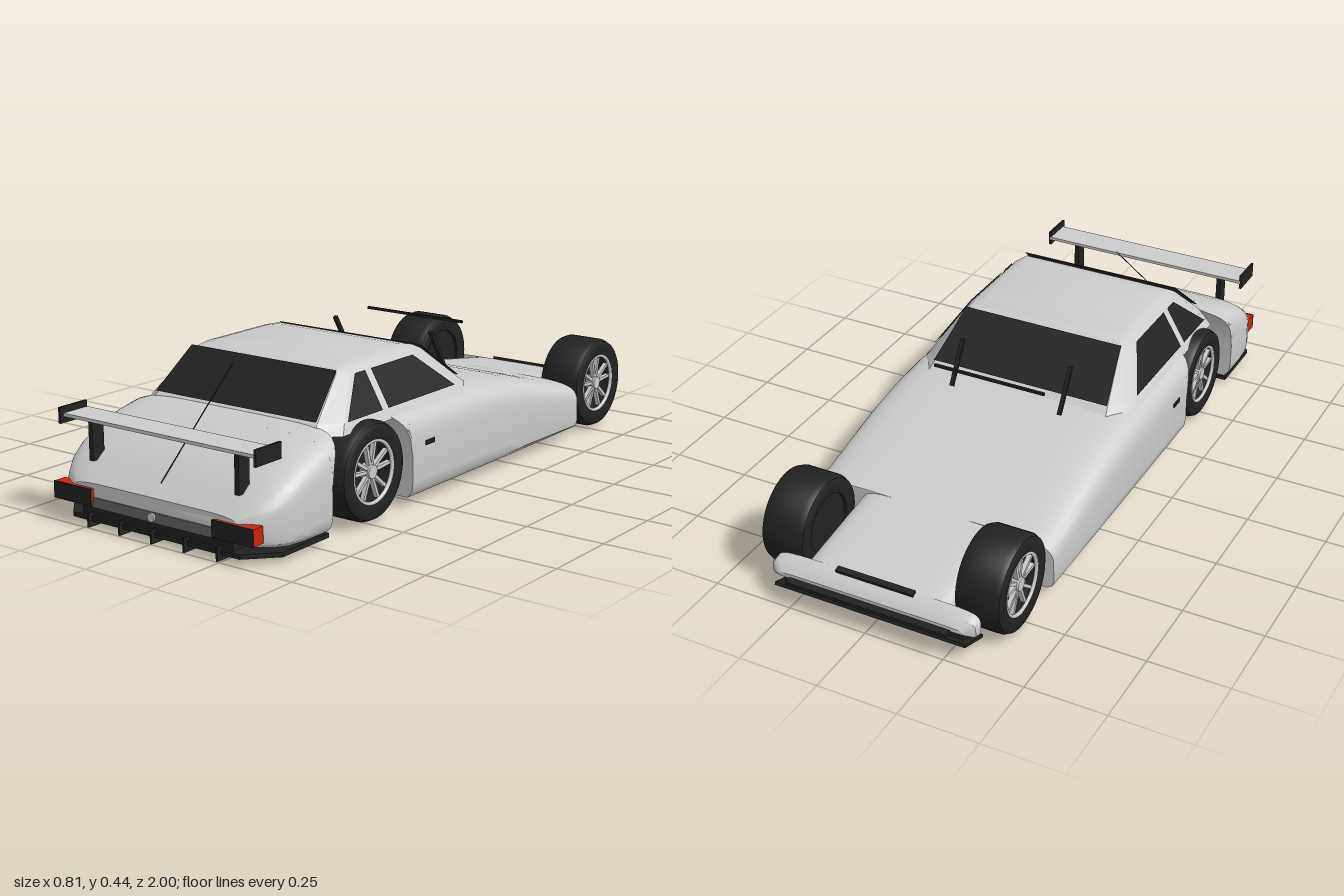
import * as THREE from 'three';
import { toCreasedNormals } from 'three/addons/utils/BufferGeometryUtils.js';

const mat = (color, side = THREE.FrontSide) => new THREE.MeshStandardMaterial({ color, side });
const GREY = mat(0xcccccc), DARK = mat(0x222222), RED = mat(0xcc2211), MID = mat(0x666666);
const GLASS = mat(0x222222, THREE.DoubleSide);

// Skins a list of closed rings ([x, y, z] points) and caps both ends
function loft(rings, crease = 0.6) {
  const n = rings[0].length, pos = rings.flat(2), idx = [];
  for (let i = 0; i < rings.length - 1; i++) {
    for (let j = 0; j < n; j++) {
      const a = i * n + j, b = i * n + (j + 1) % n;
      idx.push(a, b, b + n, a, b + n, a + n);
    }
  }
  [0, rings.length - 1].forEach((r, end) => {
    const c = pos.length / 3;
    for (let k = 0; k < 3; k++) pos.push(rings[r].reduce((s, p) => s + p[k], 0) / n);
    for (let j = 0; j < n; j++) {
      const a = r * n + j, b = r * n + (j + 1) % n;
      if (end) idx.push(c, a, b); else idx.push(c, b, a);
    }
  });
  const g = new THREE.BufferGeometry();
  g.setAttribute('position', new THREE.Float32BufferAttribute(pos, 3));
  g.setIndex(idx);
  return toCreasedNormals(g, crease);
}

// Flat convex panel from its corner points
function panel(points) {
  const g = new THREE.BufferGeometry(), idx = [];
  g.setAttribute('position', new THREE.Float32BufferAttribute(points.flat(), 3));
  for (let i = 1; i < points.length - 1; i++) idx.push(0, i, i + 1);
  g.setIndex(idx);
  g.computeVertexNormals();
  return g;
}

// Body keys: z, half width, top height, bottom height
const KEYS = [
  [-0.975, 0.30, 0.10, 0.085], [-0.955, 0.33, 0.125, 0.07], [-0.925, 0.33, 0.137, 0.06],
  [-0.924, 0.235, 0.137, 0.035], [-0.8, 0.235, 0.158, 0.035], [-0.621, 0.235, 0.187, 0.035],
  [-0.62, 0.4, 0.187, 0.035], [-0.5, 0.402, 0.215, 0.035], [-0.4, 0.403, 0.242, 0.035],
  [-0.3, 0.404, 0.266, 0.035], [-0.2, 0.405, 0.284, 0.035], [-0.1, 0.405, 0.295, 0.035],
  [0, 0.405, 0.3, 0.035], [0.3, 0.405, 0.306, 0.035], [0.6, 0.405, 0.311, 0.035],
  [0.66, 0.405, 0.306, 0.035], [0.73, 0.405, 0.29, 0.035], [0.8, 0.404, 0.262, 0.035],
  [0.86, 0.4, 0.232, 0.037], [0.91, 0.385, 0.198, 0.043], [0.95, 0.36, 0.165, 0.05],
  [0.985, 0.31, 0.132, 0.06]];
const ARCH = { z: 0.51, y: 0.155, r: 0.19, inner: 0.25 };

function bodyAt(z) {
  let i = 0;
  while (i < KEYS.length - 2 && z > KEYS[i + 1][0]) i++;
  const [a, b] = [KEYS[i], KEYS[i + 1]], t = (z - a[0]) / (b[0] - a[0]);
  return a.map((v, k) => v + (b[k] - v) * t);
}

// Cross-section: floor, wheel well wall, then a rounded shoulder up to the deck
function bodyRing(z, arched) {
  const [, w, top, bot] = bodyAt(z), N = 14, E = 0.3;
  const mid = bot + (top - bot) * 0.18;
  const half = [[0, bot]];
  let t0 = 0;
  if (arched) {
    const lip = ARCH.y + Math.sqrt(Math.max(0, ARCH.r ** 2 - (z - ARCH.z) ** 2));
    const open = lip > top - 0.008;
    t0 = open ? Math.PI / 2 : Math.asin(((lip - mid) / (top - mid)) ** (1 / E));
    half.push([ARCH.inner, bot], [ARCH.inner, open ? top : lip]);
  } else half.push([w * 0.95, bot], [w * 0.99, bot + (mid - bot) * 0.4]);
  for (let k = 0; k <= N; k++) {
    const t = t0 + (Math.PI / 2 - t0) * k / N;
    const x = w * Math.max(0, Math.cos(t)) ** E, y = mid + (top - mid) * Math.sin(t) ** E;
    half.push(k === N ? [0, top] : t0 > 1.57 ? [ARCH.inner * (1 - k / N), top] : [x, y]);
  }
  const mirror = half.slice(1, -1).reverse().map(([x, y]) => [-x, y]);
  return [...half, ...mirror].map(([x, y]) => [x, y, z]);
}

function bodyGeometry() {
  const z0 = ARCH.z - ARCH.r, z1 = ARCH.z + ARCH.r, rings = [];
  KEYS.filter(k => k[0] < z0).forEach(k => rings.push(bodyRing(k[0])));
  rings.push(bodyRing(z0));
  for (let i = 0; i <= 36; i++) rings.push(bodyRing(z0 + (z1 - z0) * i / 36, true));
  rings.push(bodyRing(z1));
  KEYS.filter(k => k[0] > z1).forEach(k => rings.push(bodyRing(k[0])));
  return loft(rings);
}

// Wheel with its outer face toward +x
function makeWheel() {
  const wheel = new THREE.Group();
  const add = (name, geo, m, x = 0) => {
    const mesh = new THREE.Mesh(geo, m);
    mesh.name = name;
    mesh.position.x = x;
    wheel.add(mesh);
    return mesh;
  };
  const profile = [[0.094, -0.068], [0.125, -0.075], [0.14, -0.068], [0.147, -0.052], [0.147, 0.052],
    [0.14, 0.068], [0.125, 0.075], [0.094, 0.068], [0.094, -0.068]].map(p => new THREE.Vector2(...p));
  add('tyre', toCreasedNormals(new THREE.LatheGeometry(profile, 48), 0.7), DARK).rotation.z = -Math.PI / 2;
  add('wheelBack', new THREE.CylinderGeometry(0.094, 0.094, 0.08, 40), DARK, -0.02).rotation.z = Math.PI / 2;
  add('rimRing', new THREE.TorusGeometry(0.092, 0.006, 8, 48), GREY, 0.064).rotation.y = Math.PI / 2;
  add('hub', new THREE.CylinderGeometry(0.02, 0.024, 0.03, 20), GREY, 0.05).rotation.z = -Math.PI / 2;
  for (let i = 0; i < 10; i++) {
    const spoke = new THREE.BoxGeometry(0.014, 0.075, 0.01).translate(0, 0.053, 0);
    const a = Math.floor(i / 2) * Math.PI * 0.4 + (i % 2 ? 0.24 : -0.24);
    add('spoke', spoke, GREY, 0.052).rotation.x = a;
  }
  return wheel;
}

export function createModel() {
  const car = new THREE.Group();
  car.name = 'car';
  const add = (name, geo, m, x = 0, y = 0, z = 0) => {
    const mesh = new THREE.Mesh(geo, m);
    mesh.name = name;
    mesh.position.set(x, y, z);
    car.add(mesh);
    return mesh;
  };
  const box = (name, m, w, h, d, x, y, z) => add(name, new THREE.BoxGeometry(w, h, d), m, x, y, z);
  // Thin bar between two points in a plane of constant x
  const bar = (name, x, w, t, [ya, za], [yb, zb], m = DARK) => {
    const len = Math.hypot(yb - ya, zb - za);
    box(name, m, w, t, len, x, (ya + yb) / 2, (za + zb) / 2).rotation.x = -Math.atan2(yb - ya, zb - za);
  };

  add('body', bodyGeometry(), GREY);

  // Cabin rings: height, half width, end half width, front z, rear z, front and rear corner depth
  const cabin = [[0.28, 0.365, 0.31, -0.1, 0.66, 0.095, 0.06], [0.31, 0.35, 0.3, -0.06, 0.635, 0.09, 0.06],
    [0.425, 0.282, 0.268, 0.093, 0.507, 0.06, 0.05], [0.438, 0.268, 0.255, 0.118, 0.487, 0.05, 0.045],
    [0.445, 0.24, 0.225, 0.16, 0.45, 0.04, 0.04]];
  add('cabin', loft(cabin.map(([y, X, e, f, r, df, dr]) => [[X, y, r - dr], [X, y, f + df], [e, y, f],
    [-e, y, f], [-X, y, f + df], [-X, y, r - dr], [-e, y, r], [e, y, r]])), GREY);

  // Glass
  const lift = 0.005;
  add('windshield', panel([[-0.3, 0.31, -0.06], [0.3, 0.31, -0.06], [0.27, 0.43, 0.1], [-0.27, 0.43, 0.1]]),
    GLASS, 0, lift, -lift);
  add('rearWindow', panel([[-0.3, 0.313, 0.634], [0.3, 0.313, 0.634], [0.272, 0.432, 0.503],
    [-0.272, 0.432, 0.503]]), GLASS, 0, lift, lift);
  const doorWindow = [[0.372, 0.312], [0.372, 0.42], [0.165, 0.42], [0.035, 0.312]];
  const quarterWindow = [[0.4, 0.312], [0.4, 0.42], [0.448, 0.42], [0.565, 0.312]];

  for (const s of [1, -1]) {
    const glassPoint = ([z, y]) => [s * (0.356 - 0.5913 * (y - 0.31)), y, z];
    add('doorWindow', panel(doorWindow.map(glassPoint)), GLASS);
    add('quarterWindow', panel(quarterWindow.map(glassPoint)), GLASS);
    box('doorHandle', DARK, 0.01, 0.014, 0.046, s * 0.402, 0.19, 0.235);
    bar('wiper', s * 0.185, 0.012, 0.012, [0.43, -0.08], [0.302, -0.158]);
    box('wingPost', DARK, 0.015, 0.12, 0.045, s * 0.27, 0.24, 0.922);
    box('wingEndPlate', DARK, 0.008, 0.048, 0.107, s * 0.36, 0.305, 0.922);
    box('tailLight', RED, 0.143, 0.049, 0.04, s * 0.297, 0.092, 0.975);
    box('tailLightCover', DARK, 0.145, 0.051, 0.004, s * 0.297, 0.092, 0.997);
    for (const [name, x, z] of [['rearWheel', 0.322, 0.49], ['frontWheel', 0.315, -0.78]]) {
      const wheel = makeWheel();
      wheel.name = name;
      wheel.position.set(s * x, 0.155, z);
      if (s < 0) wheel.rotation.y = Math.PI;
      car.add(wheel);
    }
  }
  box('wiperBar', DARK, 0.37, 0.008, 0.008, 0, 0.43, -0.257);
  bar('rearWiper', 0, 0.004, 0.001, [0.443, 0.64], [0.165, 0.95]);
  box('wing', GREY, 0.72, 0.01, 0.095, 0, 0.305, 0.915);

  // Tail panel, exhaust and diffuser
  box('tailPanel', MID, 0.46, 0.03, 0.01, 0, 0.076, 0.984);
  add('exhaust', new THREE.CylinderGeometry(0.013, 0.013, 0.014, 24), GREY, 0, 0.077, 0.988).rotation.x = Math.PI / 2;
  const tray = new THREE.Shape([[-0.31, 0.985], [-0.39, 0.9], [-0.39, 0.7], [0.39, 0.7], [0.39, 0.9], [0.31, 0.985]]
    .map(p => new THREE.Vector2(...p)));
  add('diffuser', new THREE.ExtrudeGeometry(tray, { depth: 0.014, bevelEnabled: false }), DARK, 0, 0.032, 0)
    .rotation.x = Math.PI / 2;
  box('diffuserBack', DARK, 0.56, 0.03, 0.04, 0, 0.04, 0.955);
  for (let i = -2; i <= 2; i++) box('diffuserFin', DARK, 0.006, 0.042, 0.095, i * 0.12, 0.022, 0.95);

  // Nose grille, splitter and front bar
  bar('noseGrille', 0, 0.25, 0.012, [0.14, -0.925], [0.135, -0.942]);
  box('frontTray', DARK, 0.52, 0.014, 0.24, 0, 0.027, -0.8);
  box('lowerGrille', DARK, 0.58, 0.04, 0.04, 0, 0.06, -0.935);
  bar('splitter', 0, 0.62, 0.01, [0.02, -0.88], [0.055, -0.98]);
  box('frontBar', DARK, 0.52, 0.01, 0.03, 0, 0.085, -0.985);
  return car;
}
